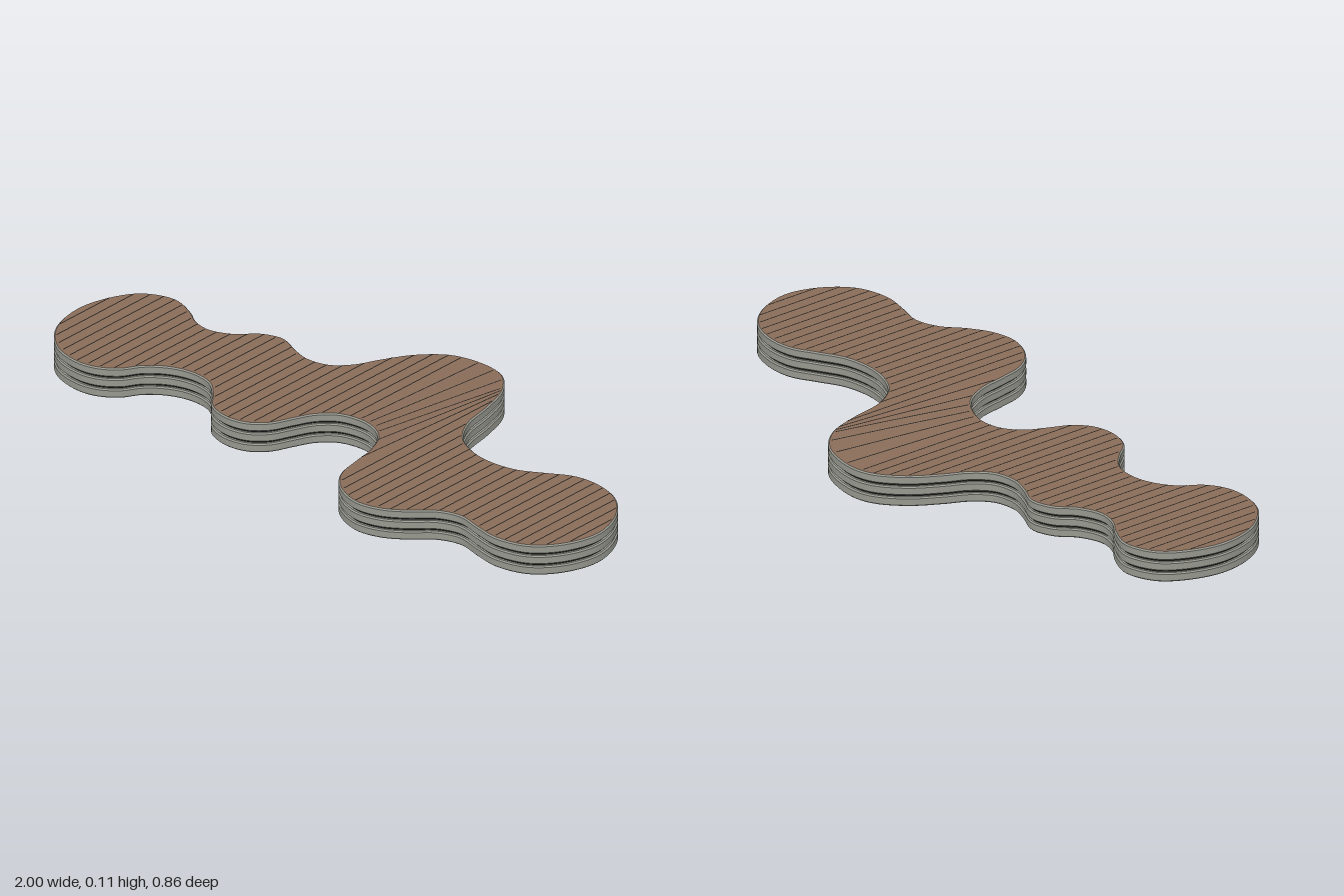
import * as THREE from 'three';
import { toCreasedNormals } from 'three/addons/utils/BufferGeometryUtils.js';

const LAYER = 0.028, PITCH = 0.034, BEVEL = 0.004, TOP = 2 * PITCH + LAYER;

// Wavy outline as x, z pairs: along the back from left to right, then the front
const OUTLINE = [
  -1, 0.11, -0.97, -0.01, -0.92, -0.08, -0.83, -0.115, -0.75, -0.09, -0.7, -0.06,
  -0.64, -0.05, -0.57, -0.08, -0.52, -0.13, -0.45, -0.155, -0.38, -0.13, -0.32, -0.115,
  -0.25, -0.13, -0.2, -0.18, -0.165, -0.25, -0.11, -0.34, -0.03, -0.41, 0.06, -0.43,
  0.16, -0.41, 0.23, -0.34, 0.265, -0.24, 0.29, -0.13, 0.34, -0.055, 0.41, -0.02,
  0.48, -0.01, 0.57, -0.025, 0.65, -0.07, 0.72, -0.11, 0.8, -0.12, 0.89, -0.095,
  0.965, -0.02, 1, 0.09, 0.97, 0.2, 0.9, 0.28, 0.8, 0.31, 0.72, 0.3,
  0.64, 0.285, 0.57, 0.31, 0.51, 0.365, 0.44, 0.41, 0.36, 0.425, 0.27, 0.39,
  0.22, 0.33, 0.2, 0.25, 0.185, 0.17, 0.15, 0.1, 0.1, 0.065, 0.04, 0.05,
  -0.03, 0.065, -0.08, 0.11, -0.11, 0.17, -0.14, 0.235, -0.19, 0.28, -0.26, 0.295,
  -0.33, 0.275, -0.38, 0.22, -0.43, 0.18, -0.5, 0.17, -0.57, 0.19, -0.63, 0.235,
  -0.67, 0.295, -0.73, 0.335, -0.8, 0.345, -0.89, 0.32, -0.97, 0.235,
];

// The right half sits slightly higher, joined by a gentle ramp
const lift = (x) => 0.012 * THREE.MathUtils.smoothstep(x, 0, 0.24);

function makeGeometry(positions, indices) {
  const g = new THREE.BufferGeometry();
  g.setAttribute('position', new THREE.Float32BufferAttribute(positions, 3));
  g.setIndex(indices);
  g.computeVertexNormals();
  return g;
}

// Outline moved inward by a given inset
function makeLoop() {
  const points = [];
  for (let i = 0; i < OUTLINE.length; i += 2) points.push(new THREE.Vector3(OUTLINE[i], 0, OUTLINE[i + 1]));
  const base = new THREE.CatmullRomCurve3(points, true).getSpacedPoints(360).slice(0, -1);
  const n = base.length;
  const normals = base.map((p, i) => {
    const t = base[(i + 1) % n].clone().sub(base[(i + n - 1) % n]).normalize();
    return new THREE.Vector3(t.z, 0, -t.x);
  });
  return (inset) => base.map((p, i) => p.clone().addScaledVector(normals[i], -inset));
}

// Sweep a profile of [inset, y], listed upwards, round the outline
function wall(loopAt, profile) {
  const pos = [], idx = [], rows = profile.length;
  const loops = profile.map(([inset]) => loopAt(inset));
  const n = loops[0].length;
  for (let i = 0; i < n; i++) {
    profile.forEach(([, y], j) => {
      const p = loops[j][i];
      pos.push(p.x, y + lift(p.x), p.z);
    });
    for (let j = 0; j < rows - 1; j++) {
      const a = i * rows + j, b = ((i + 1) % n) * rows + j;
      idx.push(a, a + 1, b, b, a + 1, b + 1);
    }
  }
  return toCreasedNormals(makeGeometry(pos, idx), 0.7);
}

// Back and front limits of a loop at x
function span(loop, x) {
  let lo = Infinity, hi = -Infinity;
  loop.forEach((a, i) => {
    const b = loop[(i + 1) % loop.length];
    if ((a.x - x) * (b.x - x) > 0) return;
    const t = a.x === b.x ? 0 : (x - a.x) / (b.x - a.x);
    const z = a.z + t * (b.z - a.z);
    lo = Math.min(lo, z);
    hi = Math.max(hi, z);
  });
  return [lo, hi];
}

// Flat cover built of strips along x
function cover(loop, y, faceUp) {
  const pos = [], idx = [];
  const xs = loop.map((p) => p.x).sort((a, b) => a - b);
  xs.forEach((x, i) => {
    const [lo, hi] = span(loop, x);
    pos.push(x, y + lift(x), lo, x, y + lift(x), hi);
    if (i === 0) return;
    const a = 2 * i - 2, b = 2 * i;
    if (faceUp) idx.push(a, a + 1, b, b, a + 1, b + 1);
    else idx.push(a, b, a + 1, b, b + 1, a + 1);
  });
  return makeGeometry(pos, idx);
}

// Narrow seams between the boards, slanting on the ramp
function seams(loop) {
  const pos = [], idx = [], w = 0.002, step = 0.01;
  const y = TOP + 0.0008;
  const inside = (x, z) => {
    const [lo, hi] = span(loop, x);
    return z > lo && z < hi;
  };
  for (let x0 = -0.972; x0 < 0.99; x0 += 0.036) {
    const lean = 0.25 * Math.max(0, 1 - Math.abs(x0 - 0.13) / 0.12);
    for (let z = -0.43; z < 0.43; z += step) {
      const xa = x0 - lean * z, xb = x0 - lean * (z + step);
      if (!inside(xa, z) || !inside(xb, z + step)) continue;
      const k = pos.length / 3;
      for (const [x, zz] of [[xa - w, z], [xa + w, z], [xb - w, z + step], [xb + w, z + step]]) {
        pos.push(x, y + lift(x), zz);
      }
      idx.push(k, k + 2, k + 1, k + 1, k + 2, k + 3);
    }
  }
  return makeGeometry(pos, idx);
}

export function createModel() {
  const group = new THREE.Group();
  const material = (name, color) => {
    const m = new THREE.MeshStandardMaterial({ color });
    m.name = name;
    return m;
  };
  const wood = material('brown wood', 0x8a6c59);
  const grey = material('grey edge', 0x97988f);
  const dark = material('dark groove', 0x25241f);
  const add = (name, geometry, mat) => {
    const mesh = new THREE.Mesh(geometry, mat);
    mesh.name = name;
    group.add(mesh);
  };
  const loopAt = makeLoop();

  // Three stacked layers with softened rims
  for (let k = 0; k < 3; k++) {
    const y = k * PITCH;
    const profile = [[BEVEL, y], [0, y + BEVEL], [0, y + LAYER - BEVEL], [BEVEL, y + LAYER]];
    if (k > 0) profile.unshift([0.012, y]);
    if (k < 2) profile.push([0.012, y + LAYER]);
    add(`edgeLayer${k + 1}`, wall(loopAt, profile), grey);
  }

  // Recessed bands between the layers
  for (let k = 0; k < 2; k++) {
    const y = k * PITCH + LAYER;
    add(`groove${k + 1}`, wall(loopAt, [[0.01, y], [0.01, y + PITCH - LAYER]]), dark);
  }

  // Boarded deck and underside
  const rim = loopAt(BEVEL);
  add('deck', cover(rim, TOP, true), wood);
  add('underside', cover(rim, 0, false), wood);
  add('boardSeams', seams(rim), dark);
  return group;
}
